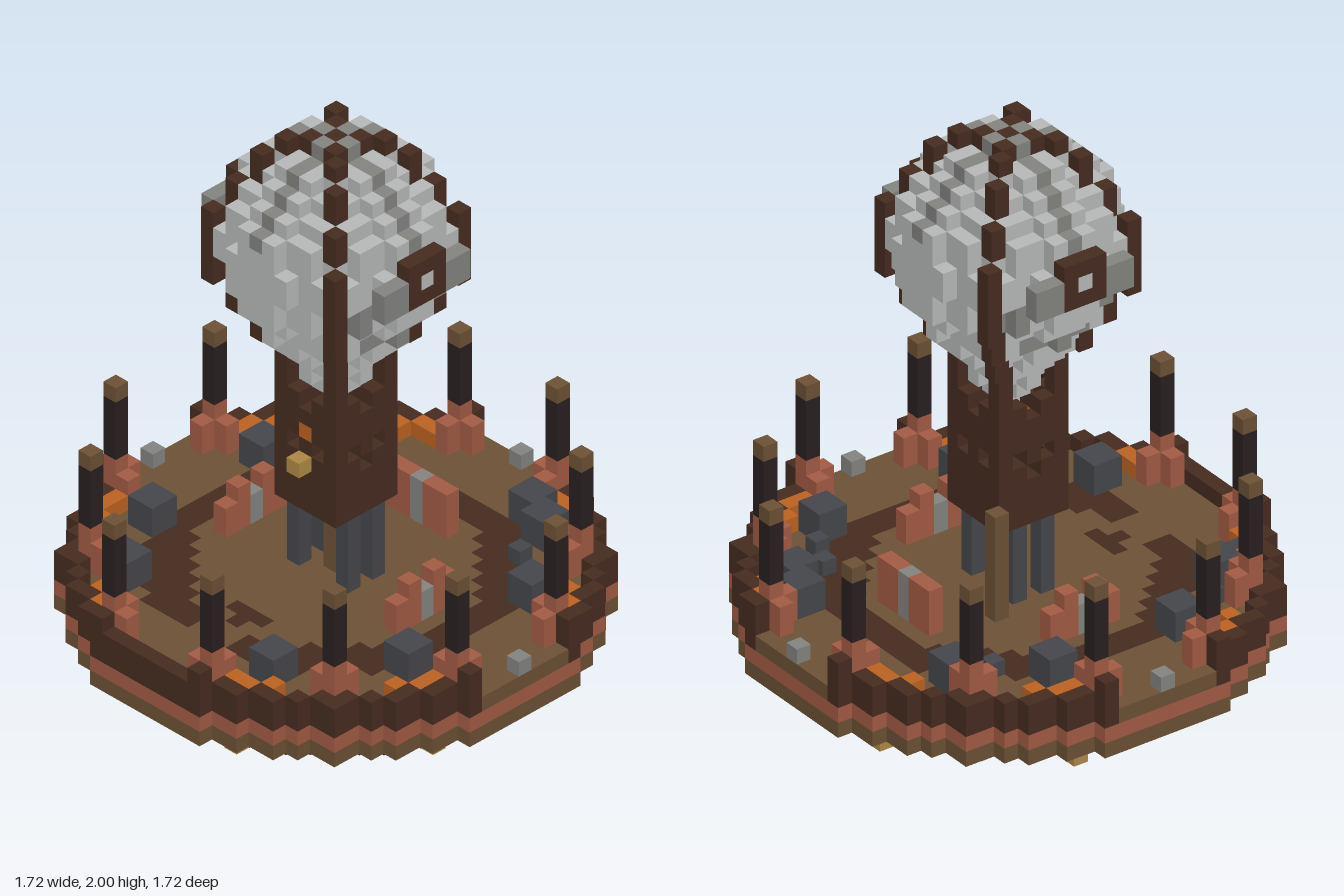
import * as THREE from 'three';

const V = 2 / 36; // edge of one cube
const PALETTE = {
  lightGrey: 0xbabcbb, midGrey: 0x858682, slate: 0x47484d, copper: 0xa55c45, darkWood: 0x472c20,
  tanWood: 0x6e5236, charcoal: 0x2a2021, orange: 0xbf6420, brass: 0xb08a45,
};

export function createModel() {
  const cells = new Map();
  const key = (x, y, z) => `${x},${y},${z}`;
  const put = (part, color, x, y, z) => cells.set(key(x, y, z), { part, color, x, y, z });
  const block = (part, color, x0, x1, y0, y1, z0, z1) => {
    for (let x = x0; x <= x1; x++)
      for (let y = y0; y <= y1; y++)
        for (let z = z0; z <= z1; z++) put(part, color, x, y, z);
  };
  const disc = (part, color, y, r2) => {
    for (let x = -15; x <= 15; x++)
      for (let z = -15; z <= 15; z++) if (x * x + z * z <= r2) put(part, color, x, y, z);
  };
  const signs = [-1, 1];
  const mirror4 = (fn) => signs.forEach((a) => signs.forEach((b) => fn(a, b)));

  // Stepped hull
  const R2 = 242;
  disc('keel', 'tanWood', 0, 112);
  disc('lowerHull', 'charcoal', 1, 136);
  disc('middleHull', 'darkWood', 2, 157);
  disc('upperHull', 'tanWood', 3, R2);
  disc('copperBand', 'copper', 4, R2);
  disc('deck', 'tanWood', 5, R2);
  put('keel', 'midGrey', 0, 0, 0);

  // Lamps around the underside
  mirror4((a, b) => {
    put('lamps', 'brass', 9 * a, 2, 9 * b);
    [[3, 12], [12, 3]].forEach(([x, z]) => put('lamps', 'brass', x * a, 2, z * b));
    [[4, 12], [12, 4]].forEach(([x, z]) => {
      put('lamps', 'brass', x * a, 1, z * b);
      put('lampBrackets', 'slate', x * a, 2, z * b);
    });
  });

  // Dark ring inlaid in the deck, open at the front
  const inside = (x, z) => x * x + z * z <= R2;
  const rim = (x, z) => inside(x, z) &&
    !(inside(x + 1, z) && inside(x - 1, z) && inside(x, z + 1) && inside(x, z - 1));
  for (let x = -15; x <= 15; x++) {
    for (let z = -15; z <= 15; z++) {
      const ax = Math.abs(x), az = Math.abs(z);
      const oct = Math.max(ax, az, (ax + az) * 0.72);
      if (oct > 8.5 && oct < 10.9 && !(z > 0 && ax < 2)) put('deckRing', 'darkWood', x, 5, z);
      // Rail, with gates at the sides and the back
      const gate = (az < 4 && ax > 13) || (ax < 4 && z < -13);
      if (rim(x, z) && !gate) block('rail', 'darkWood', x, x, 5, 6, z, z);
      // Orange strip behind the rail
      const nearRim = rim(x + 1, z) || rim(x - 1, z) || rim(x, z + 1) || rim(x, z - 1);
      if (inside(x, z) && !rim(x, z) && nearRim && Math.min(ax, az) > 3 && ax + az < 20)
        put('orangeStrip', 'orange', x, 6, z);
    }
  }
  block('deckRing', 'darkWood', -1, 1, 5, 5, 7, 7);
  put('deckRing', 'darkWood', 0, 5, 8);

  // Poles on copper feet, and gate posts
  mirror4((a, b) => {
    [[4, 14], [14, 4], [10, 10]].forEach(([px, pz]) => {
      const x = px * a, z = pz * b;
      [[1, 0], [-1, 0], [0, 1], [0, -1]].forEach(([i, j]) => {
        if (inside(x + i, z + j) && !rim(x + i, z + j)) block('poleFeet', 'copper', x + i, x + i, 6, 7, z + j, z + j);
      });
      block('poleFeet', 'copper', x, x, 6, 8, z, z);
      block('poles', 'charcoal', x, x, 9, 12, z, z);
      put('poleCaps', 'tanWood', x, 13, z);
    });
    put('gatePosts', 'darkWood', 15 * a, 7, 4 * b);
    put('gatePosts', 'darkWood', 4 * a, 7, 15 * b);
  });
  [[15, 0], [-15, 0], [0, -15]].forEach(([x, z]) => put('gateSteps', 'midGrey', x, 6, z));

  // Crates: large pairs and single cubes
  [[-8, -10], [4, -12], [6, -11], [10, -6], [-11, -5], [-11, 4], [10, 4], [-8, 9], [5, 10]]
    .forEach(([x, z]) => block('crates', 'slate', x, x + 1, 6, 7, z, z + 1));
  [[-8, -7], [7, -8], [9, -7], [-9, 8], [-6, 12]].forEach(([x, z]) => put('crates', 'slate', x, 6, z));

  // Copper consoles at the sides and the back
  signs.forEach((s) => {
    block('consoles', 'copper', 7 * s, 7 * s, 6, 7, -2, 2);
    signs.forEach((t) => put('consoles', 'copper', 7 * s, 8, t));
    block('consoles', 'midGrey', 7 * s, 7 * s, 6, 7, 0, 0);
    block('consoles', 'copper', Math.min(s, 2 * s), Math.max(s, 2 * s), 6, 8, -7, -7);
  });
  block('consoles', 'midGrey', 0, 0, 6, 8, -7, -7);

  // Legs and posts carrying the tower
  mirror4((a, b) => block('towerLegs', 'slate', 2 * a, 2 * a, 6, 10, b, b));
  block('centrePost', 'tanWood', 0, 0, 6, 11, 0, 0);
  block('sidePost', 'tanWood', -3, -3, 6, 12, -3, -3);

  // Hollow tower with window holes
  for (let y = 11; y <= 18; y++) {
    for (let x = -2; x <= 2; x++) {
      for (let z = -2; z <= 2; z++) {
        const wall = Math.max(Math.abs(x), Math.abs(z)) === 2;
        const mid = Math.min(Math.abs(x), Math.abs(z));
        const hole = (y === 15 && mid === 1) || (y === 18 && mid === 0) || (y === 14 && z === 0);
        if ((wall && !hole) || y === 12) put('tower', 'darkWood', x, y, z);
      }
    }
  }
  put('towerLantern', 'brass', 0, 14, 2);
  put('towerLantern', 'brass', 0, 14, 3);
  put('towerLight', 'orange', 0, 16, 2);

  // Balloon, one radius for each layer from the tip upwards
  const radii = [0.5, 1.3, 2.1, 2.7, 3.5, 4.3, 5, 5.3, 6.1, 6.2, 6.5, 6.5, 6.3, 6.1, 5.3, 4.4, 3.3, 1.5];
  const ribs = [2, 2, 2, 2, 3, 3, 4, 4, 5, 5, 5, 5, 5, 4, 4, 3, 3, 2];
  radii.forEach((r, i) => {
    const y = 18 + i;
    for (let x = -7; x <= 7; x++) {
      for (let z = -7; z <= 7; z++) {
        if (x * x + z * z > r * r) continue;
        const seam = y >= 31 && (x === 0 || z === 0);
        const shade = (y === 24 && Math.abs(x) > 3 && Math.abs(z) < 3) ||
          ((y === 26 || y === 27) && Math.abs(x) > 3 && Math.abs(z) > 2);
        put('balloon', seam || shade ? 'midGrey' : 'lightGrey', x, y, z);
      }
    }
  });
  // Diagonal ribs
  ribs.forEach((n, i) => mirror4((a, b) => {
    put('balloonRibs', 'darkWood', n * a, 18 + i, n * b);
    if (i > 0 && ribs[i - 1] > n) put('balloonRibs', 'darkWood', (n + 1) * a, 17 + i, (n + 1) * b);
  }));
  mirror4((a, b) => put('balloonRibs', 'darkWood', a, 35, b));
  put('balloonRibs', 'darkWood', 0, 35, 0);

  // Round portholes on both sides of the balloon
  signs.forEach((s) => {
    block('portholeSurround', 'midGrey', 7 * s, 7 * s, 28, 29, -3, 3);
    block('portholes', 'darkWood', 7 * s, 7 * s, 28, 30, -1, 1);
    put('portholes', 'lightGrey', 7 * s, 29, 0);
  });

  // Turn the cubes into meshes, keeping only exposed faces
  const buckets = new Map();
  for (const c of cells.values()) {
    const id = `${c.part}|${c.color}`;
    if (!buckets.has(id)) buckets.set(id, { pos: [], nor: [], idx: [] });
    const g = buckets.get(id);
    const centre = [c.x, c.y + 0.5, c.z];
    for (let axis = 0; axis < 3; axis++) {
      for (const s of signs) {
        const n = [0, 0, 0];
        n[axis] = s;
        if (cells.has(key(c.x + n[0], c.y + n[1], c.z + n[2]))) continue;
        const u = (axis + 1) % 3, v = (axis + 2) % 3, base = g.pos.length / 3;
        [[-1, -1], [1, -1], [1, 1], [-1, 1]].forEach(([p, q]) => {
          const corner = centre.slice();
          corner[axis] += s / 2;
          corner[u] += (p * s) / 2;
          corner[v] += q / 2;
          g.pos.push(...corner.map((k) => k * V));
          g.nor.push(...n);
        });
        g.idx.push(base, base + 1, base + 2, base, base + 2, base + 3);
      }
    }
  }

  const materials = {};
  for (const [name, color] of Object.entries(PALETTE)) {
    materials[name] = new THREE.MeshStandardMaterial({ color });
    materials[name].name = name;
  }
  const model = new THREE.Group();
  model.name = 'balloonPlatform';
  for (const [id, g] of buckets) {
    if (!g.idx.length) continue;
    const [part, color] = id.split('|');
    const geo = new THREE.BufferGeometry();
    geo.setAttribute('position', new THREE.Float32BufferAttribute(g.pos, 3));
    geo.setAttribute('normal', new THREE.Float32BufferAttribute(g.nor, 3));
    geo.setIndex(g.idx);
    const mesh = new THREE.Mesh(geo, materials[color]);
    mesh.name = part;
    model.add(mesh);
  }
  return model;
}
